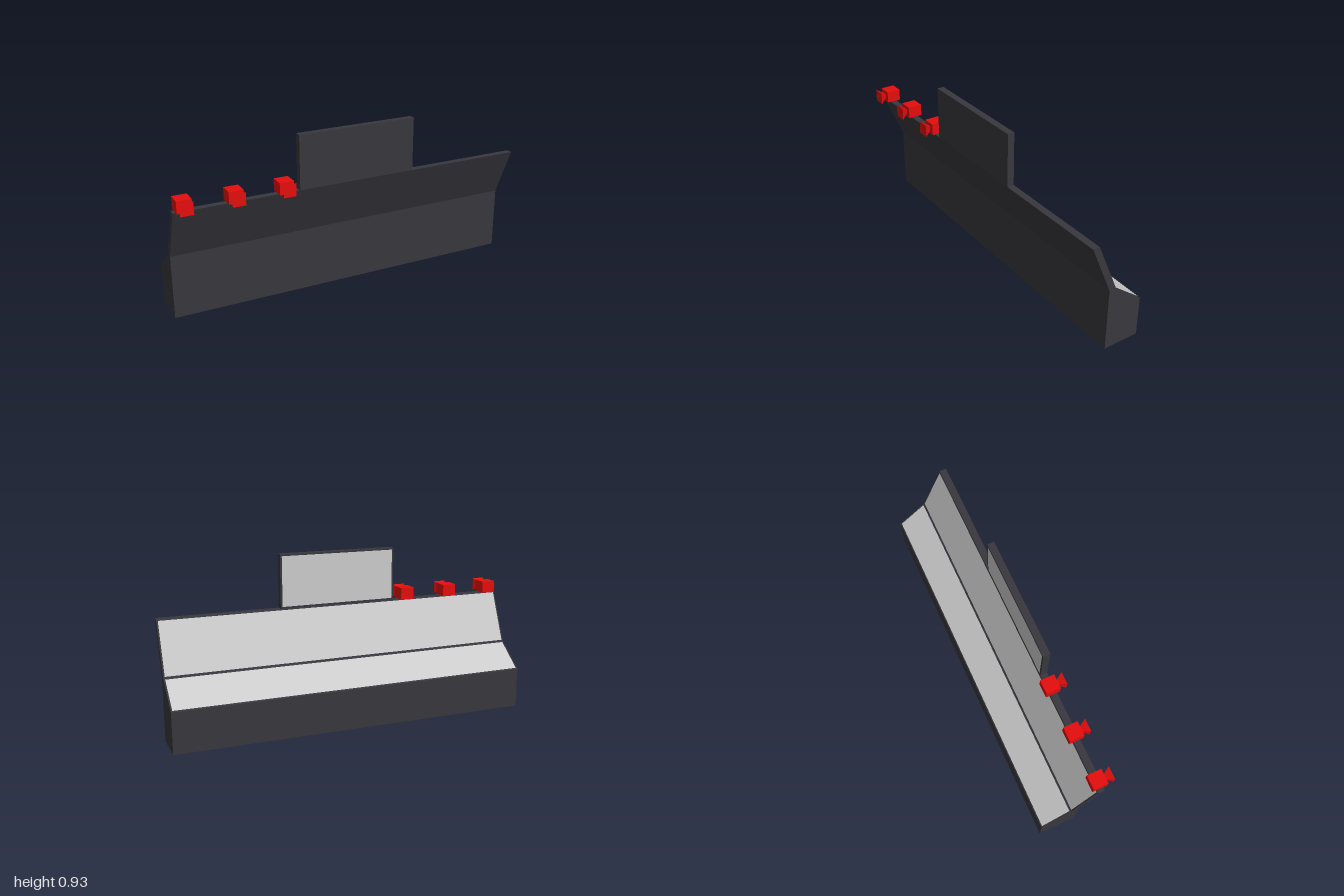
import * as THREE from 'three';

const dark = new THREE.MeshStandardMaterial({ color: 0x38373d, flatShading: true, side: THREE.DoubleSide });
const grey = new THREE.MeshStandardMaterial({ color: 0xcccccc, flatShading: true, side: THREE.DoubleSide });
const red = new THREE.MeshStandardMaterial({ color: 0xe60d0d, flatShading: true });

function add(parent, name, geometry, material) {
  const mesh = new THREE.Mesh(geometry, material);
  mesh.name = name;
  parent.add(mesh);
  return mesh;
}

// Side profile of [z, y] points as a shape; rotateY(90 deg) turns it into the zy plane
const profile = (pts) => new THREE.Shape(pts.map(([z, y]) => new THREE.Vector2(-z, y)));

// Solid with a side profile, running across x
function slab(pts, halfWidth) {
  return new THREE.ExtrudeGeometry(profile(pts), { depth: halfWidth * 2, bevelEnabled: false })
    .rotateY(Math.PI / 2).translate(-halfWidth, 0, 0);
}

// Flat sheet running across x between profile points a and b;
// inset shrinks it on all sides, lift raises it to the back and up
function sheet(a, b, halfWidth, inset = 0, lift = 0) {
  const d = new THREE.Vector2(b[0] - a[0], b[1] - a[1]);
  const len = d.length();
  d.divideScalar(len);
  const g = new THREE.PlaneGeometry(2 * (halfWidth - inset), len - 2 * inset);
  const normal = new THREE.Vector3(0, d.y, -d.x).negate();
  normal.set(0, d.x, -d.y);
  const along = new THREE.Vector3(0, d.y, d.x);
  const across = new THREE.Vector3().crossVectors(along, normal);
  g.applyMatrix4(new THREE.Matrix4().makeBasis(across, along, normal));
  return g.translate(0, (a[1] + b[1]) / 2 + normal.y * lift, (a[0] + b[0]) / 2 + normal.z * lift);
}

export function createModel() {
  const model = new THREE.Group();
  model.name = 'barrier';

  // Hollow base, open underneath
  const base = new THREE.Group();
  base.name = 'base';
  model.add(base);
  const outline = [[0.015, 0], [0.015, 0.35], [-0.025, 0.35], [-0.19, 0.223], [-0.19, 0]];
  ['frontWall', 'ridge', 'slopedTop', 'backWall'].forEach((name, i) =>
    add(base, name, sheet(outline[i + 1], outline[i], 1), dark));
  for (const side of [-1, 1]) {
    const end = new THREE.ShapeGeometry(profile(outline)).rotateY(Math.PI / 2).translate(side, 0, 0);
    add(base, side > 0 ? 'leftEnd' : 'rightEnd', end, dark);
  }
  add(base, 'slopePanel', sheet([-0.19, 0.223], [-0.025, 0.35], 1, 0.008, 0.0015), grey);

  // Leaning wall above the base
  add(model, 'leaningWall', slab([[0.015, 0.35], [0.135, 0.63], [0.097, 0.63], [-0.025, 0.35]], 1), dark);
  add(model, 'leaningPanel', sheet([-0.025, 0.35], [0.097, 0.63], 1, 0.008, 0.0015), grey);

  // Upright screen in the middle
  add(model, 'screen', slab([[0.135, 0.63], [0.135, 0.925], [0.097, 0.925], [0.097, 0.63]], 0.333), dark);
  add(model, 'screenPanel', sheet([0.097, 0.63], [0.097, 0.925], 0.333, 0.01, 0.0015), grey);

  // Row of lamps: a box with a square flared hood
  for (const x of [-0.945, -0.682, -0.413]) {
    const lamp = new THREE.Group();
    lamp.name = 'lamp';
    lamp.position.set(x, 0.662, 0);
    add(lamp, 'lampBody', new THREE.BoxGeometry(0.078, 0.066, 0.08), red).position.z = 0.112;
    const hood = new THREE.ConeGeometry(0.035 * Math.SQRT2, 0.058, 4)
      .rotateY(Math.PI / 4).rotateX(-Math.PI / 2);
    add(lamp, 'lampHood', hood, red).position.z = 0.162;
    model.add(lamp);
  }
  return model;
}
